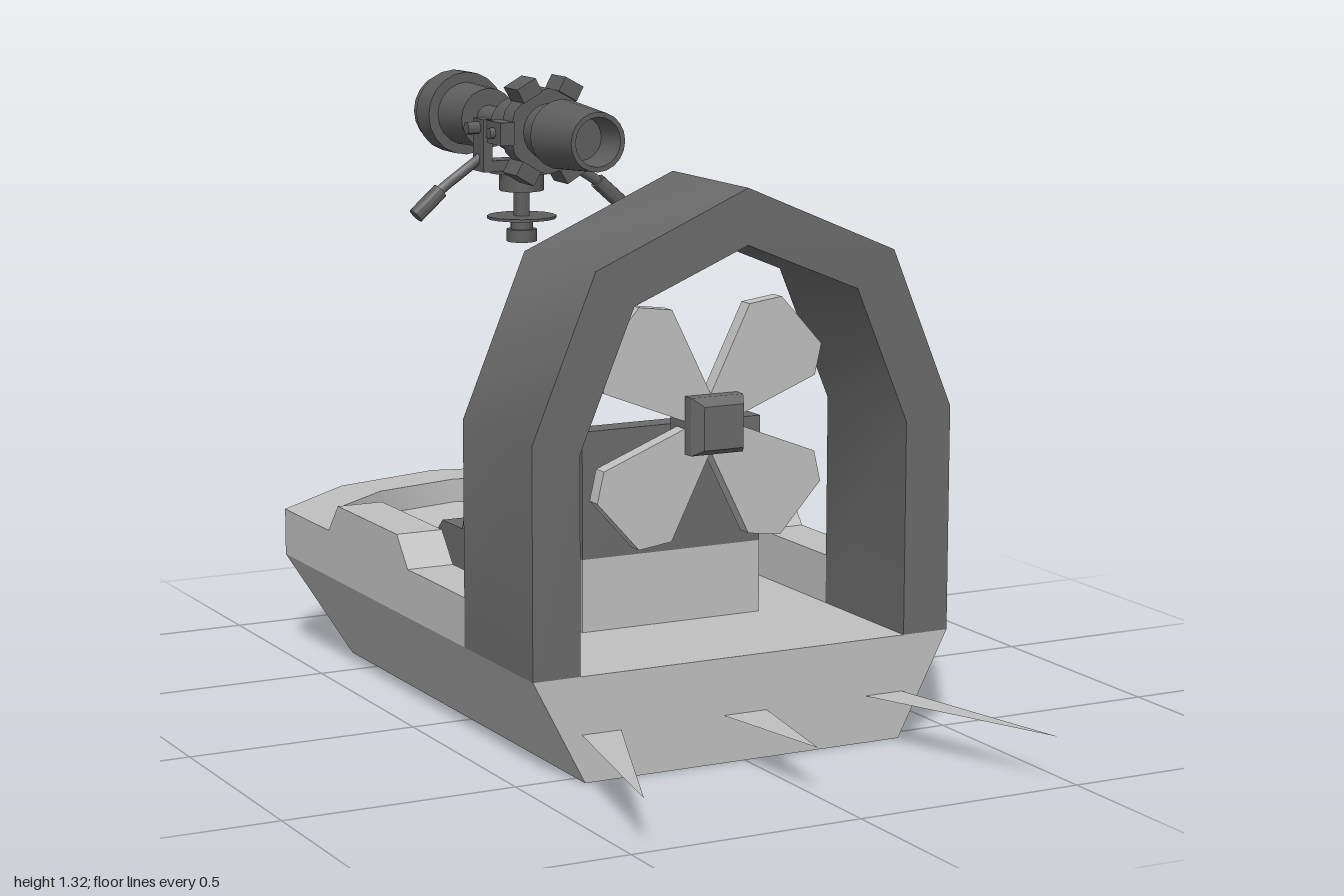
import * as THREE from 'three';
import { toCreasedNormals } from 'three/addons/utils/BufferGeometryUtils.js';

const mat = (name, color) => {
  const m = new THREE.MeshStandardMaterial({ color, side: THREE.DoubleSide });
  m.name = name;
  return m;
};

export function createModel() {
  const light = mat('light grey', 0xc0c0c0);
  const dark = mat('dark grey', 0x6b6b6b);
  const metal = mat('gun metal', 0x5e5e5e);
  const model = new THREE.Group();

  const add = (name, geo, material, parent = model) => {
    const mesh = new THREE.Mesh(geo, material);
    mesh.name = name;
    parent.add(mesh);
    return mesh;
  };
  const box = (name, size, pos, material, parent) => {
    const mesh = add(name, new THREE.BoxGeometry(...size), material, parent);
    mesh.position.set(...pos);
    return mesh;
  };
  const shapeOf = (pts) => new THREE.Shape(pts.map(([x, y]) => new THREE.Vector2(x, y)));
  const extrude = (pts, depth) =>
    new THREE.ExtrudeGeometry(shapeOf(pts), { depth, bevelEnabled: false });
  // side profile given as (z, y), extruded across x and centred at cx
  const sideExtrude = (pts, width, cx = 0) =>
    extrude(pts, width).translate(0, 0, -width / 2).rotateY(-Math.PI / 2).translate(cx, 0, 0);
  // completes a half outline that ends on x = 0
  const mirror = (half) => [...half, ...half.slice(0, -1).reverse().map(([x, y]) => [-x, y])];
  const fromTriangles = (pts) => {
    const g = new THREE.BufferGeometry();
    g.setAttribute('position', new THREE.Float32BufferAttribute(pts.flat(), 3));
    g.computeVertexNormals();
    return g;
  };

  // lower hull: keel outline lofted up to the deck outline
  const loop = (half, y) => mirror(half).map(([x, z]) => [x, y, z]);
  const keel = loop([[0.365, 0.54], [0.365, -0.64], [0.2, -0.77], [0, -0.82]], 0);
  const deck = loop([[0.48, 0.54], [0.48, -0.75], [0.265, -0.93], [0, -1]], 0.22);
  const tris = [];
  for (let i = 0; i < keel.length; i++) {
    const j = (i + 1) % keel.length;
    tris.push(keel[i], keel[j], deck[j], keel[i], deck[j], deck[i]);
    if (i > 0 && j > 0) tris.push(keel[0], keel[j], keel[i], deck[0], deck[i], deck[j]);
  }
  add('hull', toCreasedNormals(fromTriangles(tris), 0.7), light);

  // raised gunwale around the cockpit, open at the stern
  const outer = mirror([[0.48, 0.22], [0.48, -0.75], [0.265, -0.93], [0, -1]]);
  const inner = mirror([[0.375, 0.22], [0.375, -0.7], [0.21, -0.83], [0, -0.88]]);
  const rim = extrude([...outer, ...inner.reverse()], 0.105).rotateX(Math.PI / 2).translate(0, 0.325, 0);
  add('gunwale', toCreasedNormals(rim, 0.7), light);
  for (const s of [-1, 1]) {
    add('gunwaleHump', sideExtrude(
      [[-0.06, 0.32], [-0.12, 0.39], [-0.44, 0.39], [-0.5, 0.32]], 0.105, s * 0.4275), light);
  }

  // sloping floor inside the bow
  const edge = mirror([[0.375, -0.63], [0.375, -0.7], [0.21, -0.83], [0, -0.88]])
    .map(([x, z]) => [x, z === -0.63 ? 0.222 : 0.27, z]);
  const ramp = [];
  for (let i = 0; i < edge.length - 1; i++) ramp.push([0, 0.222, -0.63], edge[i], edge[i + 1]);
  add('bowRamp', fromTriangles(ramp), light);

  // seats and the box under the rear one
  const seat = [[0.22, 0.375], [0.22, 0.645], [0.165, 0.645], [0.115, 0.485],
    [0.01, 0.485], [-0.05, 0.43], [-0.05, 0.375]];
  add('rearSeat', sideExtrude(seat, 0.42), dark);
  add('frontSeat', sideExtrude(seat, 0.42), dark).position.set(0, -0.16, -0.49);
  box('seatBase', [0.42, 0.155, 0.27], [0, 0.2975, 0.085], light);

  // propeller duct arch
  const archOut = mirror([[0.48, 0.22], [0.48, 0.695], [0.34, 1.03], [0, 1.175]]);
  const archIn = mirror([[0.375, 0.22], [0.375, 0.67], [0.255, 0.955], [0, 1.06]]);
  add('ductArch', toCreasedNormals(
    extrude([...archOut, ...archIn.reverse()], 0.32).translate(0, 0, 0.22), 0.9), dark);

  // propeller
  const propeller = new THREE.Group();
  propeller.name = 'propeller';
  propeller.position.set(0, 0.675, 0.37);
  model.add(propeller);
  const blade = [[0, 0.06], [0.09, 0.24], [0.165, 0.25], [0.26, 0.145], [0.245, 0.08], [0.04, 0]];
  for (const sx of [-1, 1]) for (const sy of [-1, 1]) {
    const pts = blade.map(([x, y]) => [x * sx, y * sy]);
    add('blade', extrude(pts, 0.035).translate(0, 0, -0.0175), light, propeller);
  }
  box('hub', [0.12, 0.12, 0.09], [0, 0, 0], dark, propeller);
  const cap = new THREE.CylinderGeometry(0.064, 0.085, 0.03, 4, 1).rotateY(Math.PI / 4).rotateX(Math.PI / 2);
  add('hubCap', toCreasedNormals(cap, 0.3), dark, propeller).position.z = 0.06;

  // flat spikes trailing from the stern
  const spike = (pts) => add('sternSpike',
    fromTriangles(pts.map(([x, z]) => [x, 0.1, z])), light);
  spike([[-0.05, 0.54], [0, 0.835], [0.05, 0.54]]);
  for (const s of [-1, 1]) spike([[s * 0.28, 0.53], [s * 0.465, 0.985], [s * 0.37, 0.53]]);

  // mounted scope, floating above the cockpit
  const scope = new THREE.Group();
  scope.name = 'scope';
  scope.position.y = 1.2;
  model.add(scope);
  // profile of (radius, z) running from one recessed end to the other
  const profile = [[0, -0.2], [0.048, -0.2], [0.054, -0.12], [0.065, -0.12], [0.077, -0.295],
    [0.062, -0.3], [0.062, -0.53], [0.03, -0.535], [0.03, -0.67], [0.068, -0.67], [0.072, -0.79],
    [0.095, -0.79], [0.095, -0.86], [0.083, -0.865], [0.083, -0.9], [0.06, -0.9], [0.05, -0.84], [0, -0.84]];
  const tube = new THREE.LatheGeometry(profile.map(([r, z]) => new THREE.Vector2(r, -z)), 20)
    .rotateX(-Math.PI / 2);
  add('scopeTube', toCreasedNormals(tube, 0.6), metal, scope);

  const disc = (name, r, h, pos, seg = 12) => {
    const g = toCreasedNormals(new THREE.CylinderGeometry(r, r, h, seg), 0.7);
    const mesh = add(name, g, metal, scope);
    mesh.position.set(...pos);
    return mesh;
  };
  // clamp ring with its lugs
  disc('clampRing', 0.095, 0.05, [0, 0, -0.385]).rotation.x = Math.PI / 2;
  for (const a of [-0.5, 0.5, 1.57, -1.57, 2.6, -2.6]) {
    const lug = box('clampLug', [0.05, 0.035, 0.07],
      [Math.sin(a) * 0.105, Math.cos(a) * 0.105, -0.385], metal, scope);
    lug.rotation.z = -a;
  }

  // yoke, pivot pins and grips
  for (const s of [-1, 1]) {
    box('yokeArm', [0.022, 0.11, 0.055], [s * 0.095, -0.035, -0.5], metal, scope);
    disc('pivotPin', 0.014, 0.07, [s * 0.1, 0, -0.5]).rotation.z = Math.PI / 2;
    disc('lugPin', 0.012, 0.05, [s * 0.11, 0, -0.385]).rotation.z = Math.PI / 2;
    const path = new THREE.CatmullRomCurve3([[0.09, -0.06, -0.5], [0.14, -0.1, -0.515],
      [0.2, -0.14, -0.51], [0.25, -0.19, -0.51]].map(([x, y, z]) => new THREE.Vector3(s * x, y, z)));
    add('gripArm', new THREE.TubeGeometry(path, 8, 0.012, 8), metal, scope);
    const grip = disc('grip', 0.018, 0.08, [s * 0.225, -0.163, -0.51]);
    grip.rotation.z = s * 0.85;
  }
  box('yokeBase', [0.21, 0.025, 0.055], [0, -0.085, -0.5], metal, scope);

  // pedestal stack under the yoke
  disc('upperPlate', 0.075, 0.008, [0, -0.1, -0.5], 16);
  disc('swivel', 0.05, 0.04, [0, -0.125, -0.5]);
  disc('post', 0.018, 0.1, [0, -0.19, -0.5]);
  disc('lowerPlate', 0.078, 0.006, [0, -0.205, -0.5], 16);
  disc('foot', 0.034, 0.028, [0, -0.246, -0.5]);
  disc('footCollar', 0.025, 0.025, [0, -0.22, -0.5]);
  return model;
}
